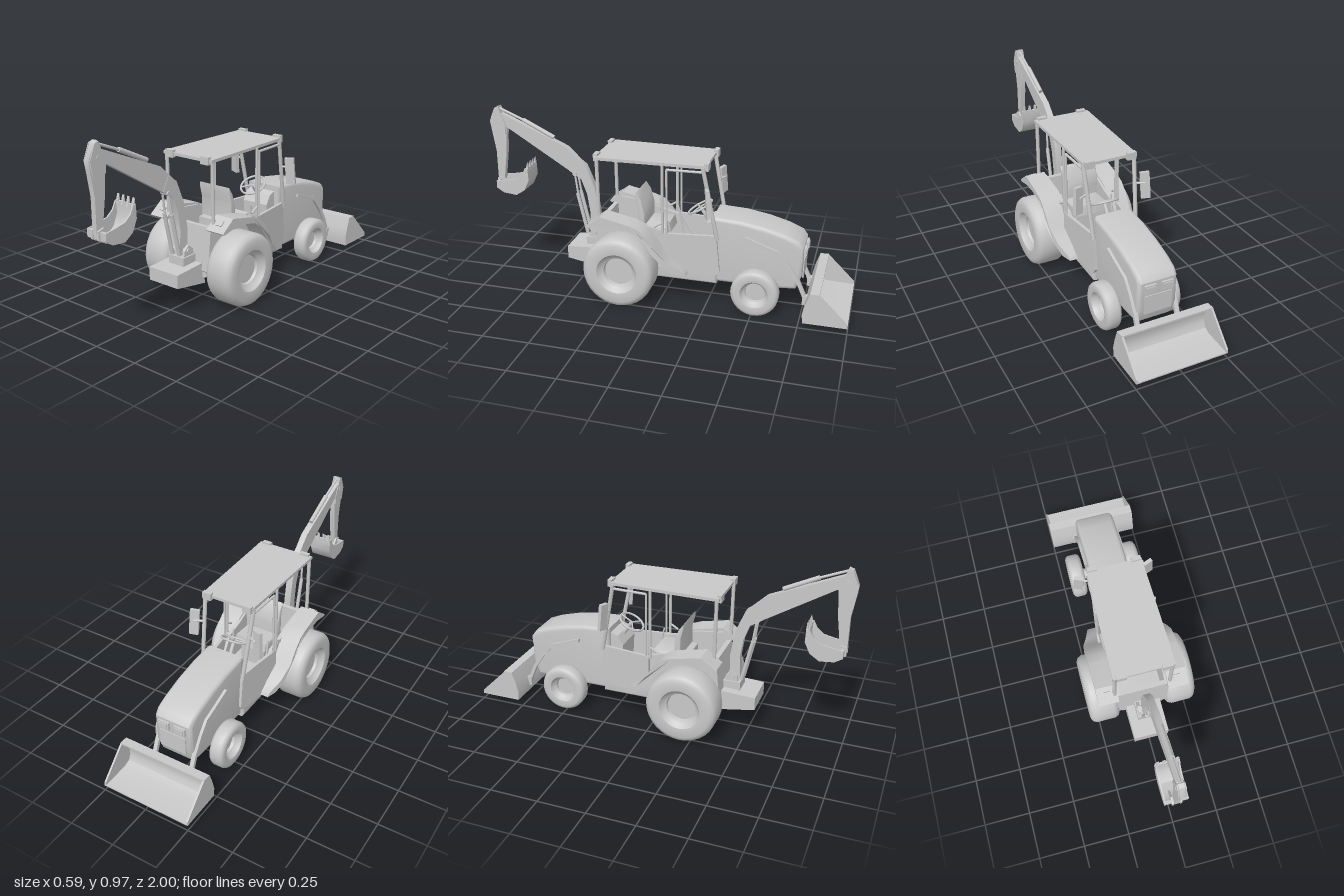
import * as THREE from 'three';
import { toCreasedNormals } from 'three/addons/utils/BufferGeometryUtils.js';

const grey = new THREE.MeshStandardMaterial({ color: 0xc8c8c8, side: THREE.DoubleSide });
grey.name = 'plain grey';

export function createModel() {
  const model = new THREE.Group();
  model.name = 'diggerTractor';
  const V = (x, y, z) => new THREE.Vector3(x, y, z);

  function add(name, geo) {
    const mesh = new THREE.Mesh(geo, grey);
    mesh.name = name;
    model.add(mesh);
    return mesh;
  }
  function box(name, x0, x1, y0, y1, z0, z1) {
    const g = new THREE.BoxGeometry(x1 - x0, y1 - y0, z1 - z0);
    g.translate((x0 + x1) / 2, (y0 + y1) / 2, (z0 + z1) / 2);
    return add(name, g);
  }
  // Side profile of [z, y] points, extruded from x0 to x1; taper moves x by a rule of z.
  function slab(name, pts, x0, x1, { bevel = 0, taper = null } = {}) {
    const shape = new THREE.Shape(pts.map(p => new THREE.Vector2(p[0], p[1])));
    const g = new THREE.ExtrudeGeometry(shape, {
      depth: x1 - x0 - 2 * bevel, bevelEnabled: bevel > 0,
      bevelSize: bevel, bevelOffset: -bevel, bevelThickness: bevel, bevelSegments: 4,
    });
    g.rotateY(-Math.PI / 2).translate(x1 - bevel, 0, 0);
    if (taper) {
      const p = g.attributes.position;
      for (let i = 0; i < p.count; i++) p.setX(i, taper(p.getX(i), p.getZ(i)));
    }
    return add(name, toCreasedNormals(g, 0.6));
  }
  function bar(name, a, b, r, sides = 10) {
    const d = b.clone().sub(a);
    const g = new THREE.CylinderGeometry(r, r, d.length(), sides);
    g.applyQuaternion(new THREE.Quaternion().setFromUnitVectors(V(0, 1, 0), d.normalize()));
    g.translate((a.x + b.x) / 2, (a.y + b.y) / 2, (a.z + b.z) / 2);
    return add(name, g);
  }
  const pin = (name, z, y, w, r) => bar(name, V(-w, y, z), V(w, y, z), r, 14);
  const mirrored = (s, a, b) => (s > 0 ? [a, b] : [-b, -a]);

  // Wheels: profile of [radius, distance along axle], outer side last
  function wheel(name, s, r, hub, x0, x1, y, z) {
    const w = x1 - x0, c = r * 0.1;
    const pts = [[0, w * 0.25], [hub, w * 0.2], [hub * 1.05, 0.005], [r * 0.84, 0], [r - c * 0.5, c * 0.6],
      [r, c * 1.6], [r, w - c * 1.6], [r - c * 0.5, w - c * 0.6], [r * 0.84, w], [hub * 1.05, w - 0.005],
      [hub, w - 0.012], [hub * 0.86, w - 0.03], [hub * 0.76, w - 0.035], [hub * 0.72, w - 0.05], [0, w - 0.05]];
    const g = new THREE.LatheGeometry(pts.map(p => new THREE.Vector2(...p)), 32);
    g.rotateZ(-Math.PI / 2).translate(x0, 0, 0);
    if (s < 0) g.rotateY(Math.PI);
    g.translate(0, y, z);
    add(name, toCreasedNormals(g, 0.7));
  }
  for (const s of [1, -1]) {
    wheel('rearWheel', s, 0.192, 0.105, 0.13, 0.297, 0.195, 0.198);
    wheel('frontWheel', s, 0.125, 0.07, 0.125, 0.21, 0.13, -0.515);
  }
  pin('rearAxle', 0.198, 0.195, 0.18, 0.045);
  pin('frontAxle', -0.515, 0.13, 0.16, 0.03);

  // Chassis and bonnet
  slab('chassis', [[0.36, 0.24], [0.36, 0.165], [0.1, 0.125], [-0.3, 0.125], [-0.3, 0.24]], -0.125, 0.125, { bevel: 0.015 });
  slab('bonnet', [[-0.27, 0.13], [-0.27, 0.495], [-0.42, 0.487], [-0.54, 0.467], [-0.65, 0.437], [-0.72, 0.408],
    [-0.745, 0.375], [-0.745, 0.22], [-0.715, 0.14], [-0.6, 0.13]], -0.107, 0.107, { bevel: 0.022 });
  box('grille', -0.075, 0.075, 0.2, 0.3, -0.75, -0.742);
  for (const s of [1, -1]) {
    const [a, b] = mirrored(s, 0.016, 0.078);
    box('headlamp', a, b, 0.318, 0.362, -0.756, -0.735);
    const [c, d] = mirrored(s, 0.024, 0.07);
    box('headlampGlass', c, d, 0.325, 0.355, -0.761, -0.755);
  }

  // Cab tub
  const narrow = (x, z) => x - Math.sign(x) * Math.max(0, -z) * 0.13;
  box('cabFloor', -0.125, 0.125, 0.22, 0.24, -0.28, 0.34);
  slab('rearPanel', [[0.31, 0.2], [0.34, 0.17], [0.365, 0.2], [0.345, 0.43], [0.32, 0.43]], -0.14, 0.14);
  for (const s of [1, -1]) {
    slab('door', [[-0.02, 0.4], [-0.295, 0.4], [-0.315, 0.2], [-0.3, 0.175], [-0.16, 0.175], [-0.1, 0.24], [-0.02, 0.31]],
      ...mirrored(s, 0.145, 0.162), { taper: narrow });
    slab('innerFender', [[0.34, 0.43], [0.3, 0.47], [0.14, 0.45], [0.06, 0.42], [-0.03, 0.4], [-0.16, 0.2], [0.34, 0.18]],
      ...mirrored(s, 0.122, 0.142));
    // Fender arch with its front flare and step
    slab('fender', [[0.375, 0.43], [0.295, 0.49], [0.14, 0.458], [0.09, 0.44], [0.04, 0.395], [-0.01, 0.32], [-0.07, 0.245],
      [-0.14, 0.2], [-0.15, 0.178], [-0.1, 0.185], [-0.04, 0.235], [0.02, 0.31], [0.07, 0.385], [0.12, 0.42],
      [0.2, 0.437], [0.29, 0.437], [0.365, 0.422]], ...mirrored(s, 0.135, 0.245),
    { taper: (x, z) => x * (z < 0 ? Math.max(0.72, 1 + z * 1.6) : 1) });
    const lamp = box('fenderLamp', -0.018, 0.018, -0.004, 0.004, -0.016, 0.016);
    lamp.position.set(s * 0.19, 0.465, 0.332);
    lamp.rotation.x = 0.64;
    bar('grabHandle', V(s * 0.155, 0.43, 0.03), V(s * 0.155, 0.46, -0.02), 0.006);

    // Cab frame
    bar('rearPost', V(s * 0.15, 0.44, 0.335), V(s * 0.15, 0.775, 0.34), 0.01);
    bar('middlePost', V(s * 0.152, 0.39, -0.015), V(s * 0.152, 0.775, -0.012), 0.008);
    bar('doorPost', V(s * 0.152, 0.39, -0.038), V(s * 0.15, 0.75, -0.035), 0.006);
    bar('doorTopRail', V(s * 0.15, 0.75, -0.035), V(s * 0.142, 0.75, -0.22), 0.007);
    bar('frontPost', V(s * 0.122, 0.38, -0.3), V(s * 0.142, 0.775, -0.222), 0.011);
    for (const z of [0.35, -0.24]) {
      const [a, b] = mirrored(s, 0.092, 0.142);
      box('workLamp', a, b, 0.757, 0.796, z - 0.012, z + 0.012);
    }
    // Mirrors
    const m = box('mirror', -0.025, 0.025, -0.073, 0.073, -0.01, 0.01);
    m.position.set(s * 0.19, 0.603, -0.262);
    m.rotation.set(0.06, s * 0.35, s * 0.05);
    bar('mirrorArm', V(s * 0.134, 0.62, -0.25), V(s * 0.185, 0.62, -0.275), 0.006);
  }
  const roofShape = new THREE.Shape([[0.16, -0.355], [0.146, 0.24], [-0.146, 0.24], [-0.16, -0.355]]
    .map(p => new THREE.Vector2(...p)));
  add('roof', new THREE.ExtrudeGeometry(roofShape, { depth: 0.016, bevelEnabled: false })
    .rotateX(-Math.PI / 2).translate(0, 0.769, 0));

  // Seat, dashboard and steering
  box('seatBase', -0.07, 0.07, 0.24, 0.34, 0.0, 0.15);
  slab('seatCushion', [[0.17, 0.34], [0.17, 0.4], [-0.02, 0.41], [-0.03, 0.36]], -0.095, 0.095, { bevel: 0.01 });
  slab('seatBack', [[0.1, 0.38], [0.1, 0.47], [0.12, 0.545], [0.148, 0.585], [0.15, 0.56], [0.135, 0.5], [0.135, 0.38]],
    -0.1, 0.1, { bevel: 0.005 });
  slab('dashboard', [[-0.21, 0.24], [-0.2, 0.4], [-0.23, 0.45], [-0.29, 0.47], [-0.29, 0.24]], -0.08, 0.08);
  bar('steeringColumn', V(0, 0.4, -0.25), V(0, 0.505, -0.182), 0.01);
  const steering = add('steeringWheel', new THREE.TorusGeometry(0.07, 0.006, 8, 28));
  steering.position.set(0, 0.507, -0.18);
  steering.rotation.x = -Math.PI / 2 + 0.53;
  for (let i = 0; i < 3; i++) {
    const a = Math.PI / 2 + i * Math.PI * 2 / 3;
    const end = V(Math.cos(a) * 0.07, Math.sin(a) * 0.07, 0).applyEuler(steering.rotation).add(steering.position);
    bar('steeringSpoke', steering.position, end, 0.005, 6);
  }
  for (const x of [-0.115, 0.1]) bar('controlLever', V(x, 0.3, -0.06), V(x, 0.45, -0.03), 0.005);

  // Lift arms and front bucket
  for (const s of [1, -1]) {
    slab('liftArm', [[-0.445, 0.412], [-0.575, 0.365], [-0.625, 0.35], [-0.68, 0.285], [-0.735, 0.2], [-0.785, 0.09],
      [-0.765, 0.085], [-0.72, 0.19], [-0.665, 0.272], [-0.615, 0.33], [-0.57, 0.345], [-0.445, 0.392]],
    ...mirrored(s, 0.1, 0.122));
    box('bucketBracket', ...mirrored(s, 0.095, 0.127), 0.07, 0.12, -0.8, -0.755);
    slab('bucketSide', [[-0.775, 0.035], [-1, 0.035], [-0.998, 0.055], [-0.85, 0.2], [-0.805, 0.2], [-0.78, 0.09]],
      ...mirrored(s, 0.24, 0.25));
  }
  slab('bucketShell', [[-1, 0.033], [-0.775, 0.033], [-0.77, 0.08], [-0.785, 0.14], [-0.805, 0.2], [-0.852, 0.202],
    [-0.852, 0.193], [-0.82, 0.188], [-0.802, 0.14], [-0.8, 0.09], [-0.815, 0.058], [-0.85, 0.045], [-1, 0.04]],
  -0.25, 0.25);

  // Rear counterweight and swing mount
  slab('counterweight', [[0.545, 0.23], [0.35, 0.24], [0.34, 0.125], [0.4, 0.135], [0.545, 0.16]], -0.095, 0.095);
  box('swingBase', -0.05, 0.05, 0.235, 0.28, 0.34, 0.45);
  for (const s of [1, -1]) {
    slab('swingPlate', [[0.44, 0.26], [0.43, 0.31], [0.4, 0.335], [0.37, 0.31], [0.36, 0.26]], ...mirrored(s, 0.028, 0.042));
  }
  pin('swingPin', 0.405, 0.305, 0.05, 0.014);

  // Boom, dipper and rams
  slab('lowerBoom', [[0.44, 0.285], [0.385, 0.285], [0.382, 0.42], [0.405, 0.56], [0.455, 0.68], [0.51, 0.72], [0.55, 0.645],
    [0.48, 0.6], [0.45, 0.52], [0.435, 0.42]], -0.019, 0.019);
  slab('upperBoom', [[0.47, 0.69], [0.56, 0.775], [0.64, 0.81], [0.93, 0.935], [0.965, 0.915], [0.96, 0.875],
    [0.9, 0.86], [0.55, 0.645], [0.48, 0.62]], -0.017, 0.017);
  slab('dipper', [[0.945, 0.975], [0.965, 0.965], [1, 0.89], [0.995, 0.845], [0.975, 0.72], [0.975, 0.545], [0.94, 0.545],
    [0.915, 0.72], [0.905, 0.87], [0.935, 0.93]], -0.014, 0.014);
  for (const s of [1, -1]) {
    slab('dipperCheek', [[0.945, 0.972], [0.967, 0.965], [0.998, 0.89], [0.985, 0.82], [0.91, 0.82], [0.905, 0.87]],
      ...mirrored(s, 0.016, 0.021));
    bar('boomRam', V(s * 0.024, 0.29, 0.45), V(s * 0.024, 0.52, 0.502), 0.01);
    bar('boomRamRod', V(s * 0.024, 0.5, 0.497), V(s * 0.02, 0.63, 0.515), 0.006);
  }
  bar('dipperRam', V(0, 0.82, 0.635), V(0, 0.905, 0.81), 0.012);
  bar('dipperRamRod', V(0, 0.9, 0.8), V(0, 0.96, 0.945), 0.007);
  pin('dipperPin', 0.95, 0.9, 0.024, 0.012);
  pin('boomPin', 0.515, 0.63, 0.026, 0.012);
  pin('bucketPin', 0.957, 0.55, 0.028, 0.012);

  // Digging bucket with teeth
  const curl = [[0.965, 0.56], [0.965, 0.52], [0.925, 0.495], [0.85, 0.487], [0.8, 0.52], [0.772, 0.58], [0.775, 0.65]];
  const inner = [[0.787, 0.65], [0.786, 0.585], [0.811, 0.53], [0.853, 0.5], [0.92, 0.508], [0.95, 0.528], [0.95, 0.56]];
  slab('diggerShell', [...curl, ...inner], -0.058, 0.058);
  for (const s of [1, -1]) {
    slab('diggerSide', [...curl, [0.79, 0.65], [0.81, 0.61], [0.845, 0.582], [0.9, 0.57]], ...mirrored(s, 0.054, 0.062));
    slab('diggerHinge', [[0.975, 0.565], [0.94, 0.575], [0.9, 0.53], [0.93, 0.495], [0.975, 0.52]], ...mirrored(s, 0.016, 0.026));
  }
  for (let i = 0; i < 4; i++) {
    const x = -0.05 + i * 0.1 / 3;
    slab('tooth', [[0.772, 0.635], [0.776, 0.682], [0.79, 0.635]], x - 0.007, x + 0.007);
  }
  return model;
}
